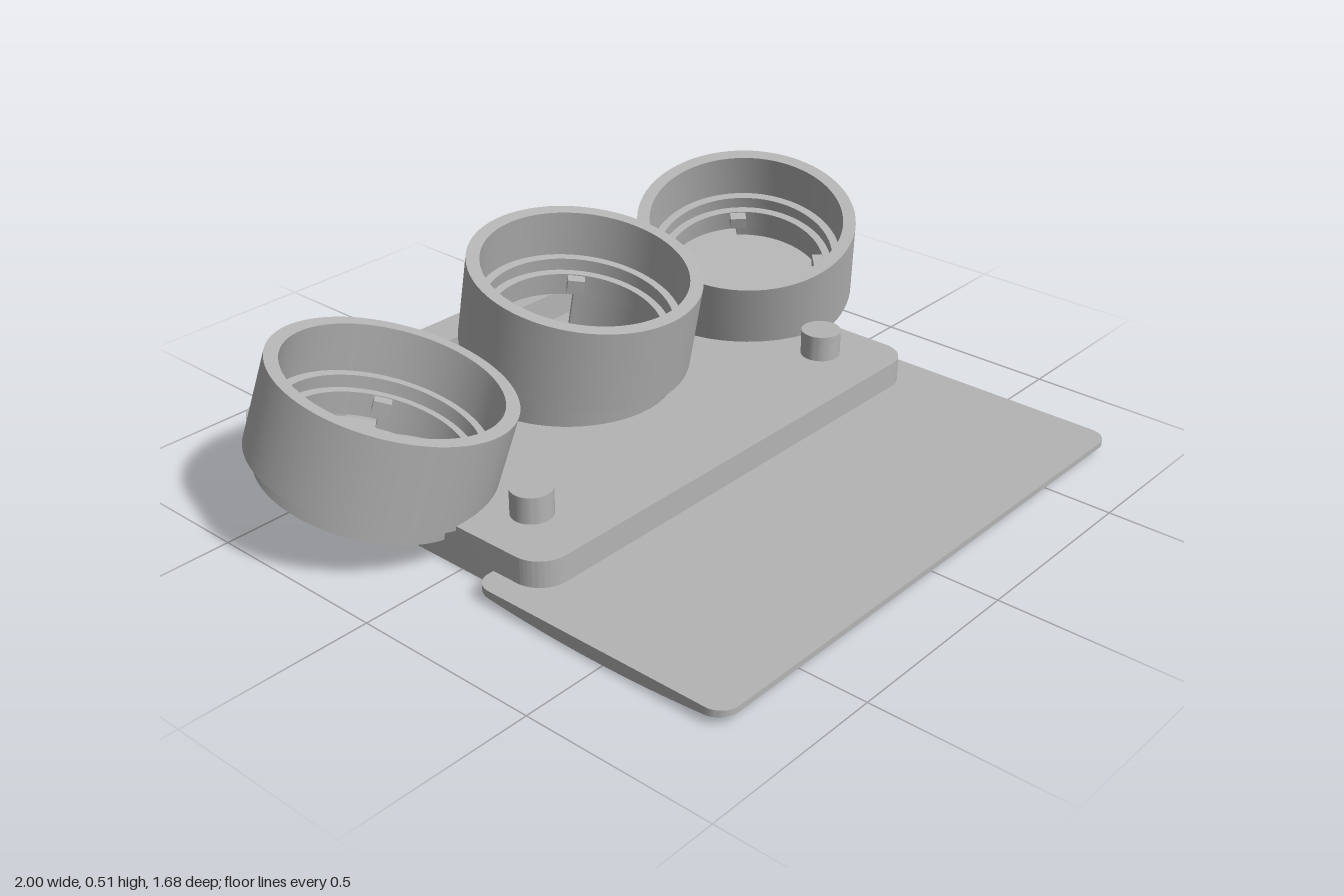
import * as THREE from 'three';
import { toCreasedNormals } from 'three/addons/utils/BufferGeometryUtils.js';

const V2 = (x, y) => new THREE.Vector2(x, y);
const grey = new THREE.MeshStandardMaterial({ color: 0xb4b4b4 });
grey.name = 'plainGrey';

function part(name, geometry, parent) {
  const mesh = new THREE.Mesh(toCreasedNormals(geometry, 0.5), grey);
  mesh.name = name;
  parent.add(mesh);
  return mesh;
}

// Extrude a plan shape upwards; shape y becomes -z
function extrudeUp(shape, height, y0) {
  const g = new THREE.ExtrudeGeometry(shape, { depth: height, bevelEnabled: false, curveSegments: 32 });
  return g.rotateX(-Math.PI / 2).translate(0, y0, 0);
}

function roundedRect(x0, y0, x1, y1, r) {
  const s = new THREE.Shape();
  s.absarc(x1 - r, y0 + r, r, -Math.PI / 2, 0);
  s.absarc(x1 - r, y1 - r, r, 0, Math.PI / 2);
  s.absarc(x0 + r, y1 - r, r, Math.PI / 2, Math.PI);
  s.absarc(x0 + r, y0 + r, r, Math.PI, Math.PI * 1.5);
  s.closePath();
  return s;
}

// A cup with its rim centred on the origin and its axis along y
function makeCup(name, rim, axis, depth, hasFloor) {
  const cup = new THREE.Group();
  cup.name = name;
  cup.position.set(...rim);
  cup.quaternion.setFromUnitVectors(new THREE.Vector3(0, 1, 0), new THREE.Vector3(...axis).normalize());

  // Wide collar with stepped ledges inside
  const profile = [
    V2(0.235, -0.235), V2(0.305, -0.235), V2(0.305, 0), V2(0.27, 0), V2(0.27, -0.13),
    V2(0.247, -0.13), V2(0.247, -0.165), V2(0.225, -0.165), V2(0.225, -0.19),
    V2(0.235, -0.19), V2(0.235, -0.235),
  ];
  part('collar', new THREE.LatheGeometry(profile, 80), cup);

  // Neck, open at the back
  const a0 = Math.PI * 0.75, a1 = Math.PI * 2.25;
  const arc = new THREE.Shape();
  arc.absarc(0, 0, 0.272, a0, a1, false);
  arc.absarc(0, 0, 0.235, a1, a0, true);
  arc.closePath();
  part('neck', extrudeUp(arc, depth - 0.235, -depth), cup);

  if (hasFloor) {
    part('cupFloor', new THREE.CylinderGeometry(0.27, 0.27, 0.022, 64).translate(0, -depth + 0.0115, 0), cup);
  }

  // Four small retaining tabs
  for (let i = 0; i < 4; i++) {
    const tab = new THREE.BoxGeometry(0.045, 0.035, 0.045).translate(0, -0.185, 0.218);
    part('tab', tab.rotateY(Math.PI / 4 + i * Math.PI / 2), cup);
  }
  return cup;
}

// Thin front plate with rounded corners and a bowed underside
function frontPlate(halfWidth, z0, z1, top, r) {
  const g = new THREE.BoxGeometry(2, 1, 2, 1, 1, 64);
  const p = g.attributes.position;
  for (let i = 0; i < p.count; i++) {
    const t = Math.sin(p.getZ(i) * Math.PI / 2);
    const z = (z0 + z1) / 2 + t * (z1 - z0) / 2;
    const inset = Math.max(0, r - Math.min(z - z0, z1 - z));
    const w = halfWidth - r + Math.sqrt(Math.max(0, r * r - inset * inset));
    const bottom = 0.005 + 0.02 * t * t;
    p.setXYZ(i, p.getX(i) * w, p.getY(i) > 0 ? top : bottom, z);
  }
  return g;
}

export function createModel() {
  const model = new THREE.Group();
  model.name = 'tripleCupStand';

  // Base with a long slot at the back and peg holes beneath
  const base = roundedRect(-0.71, -0.26, 0.71, 0.845, 0.08);
  const slot = new THREE.Path([V2(-0.49, 0.615), V2(-0.49, 0.735), V2(0.49, 0.735), V2(0.49, 0.615)]);
  slot.closePath();
  base.holes.push(slot);
  const pegs = [];
  for (const x of [-0.552, 0.552]) for (const z of [-0.665, 0.075]) pegs.push([x, z]);
  for (const [x, z] of pegs) {
    const hole = new THREE.Path();
    hole.absarc(x, -z, 0.024, 0, Math.PI * 2, true);
    base.holes.push(hole);
  }
  part('base', extrudeUp(base, 0.11, 0), model);

  for (const [x, z] of pegs) {
    part('peg', new THREE.CylinderGeometry(0.053, 0.053, 0.08, 40).translate(x, 0.14, z), model);
  }

  part('frontPlate', frontPlate(0.775, 0.105, 0.84, 0.04, 0.05), model);

  // Middle cup leans forward; side cups also lean inward
  model.add(makeCup('middleCup', [0, 0.447, -0.27], [0, 1, 0.195], 0.385, false));
  for (const s of [-1, 1]) {
    model.add(makeCup(s > 0 ? 'leftCup' : 'rightCup', [s * 0.65, 0.38, -0.27], [-s * 0.235, 1, 0.2], 0.283, true));
  }
  return model;
}
